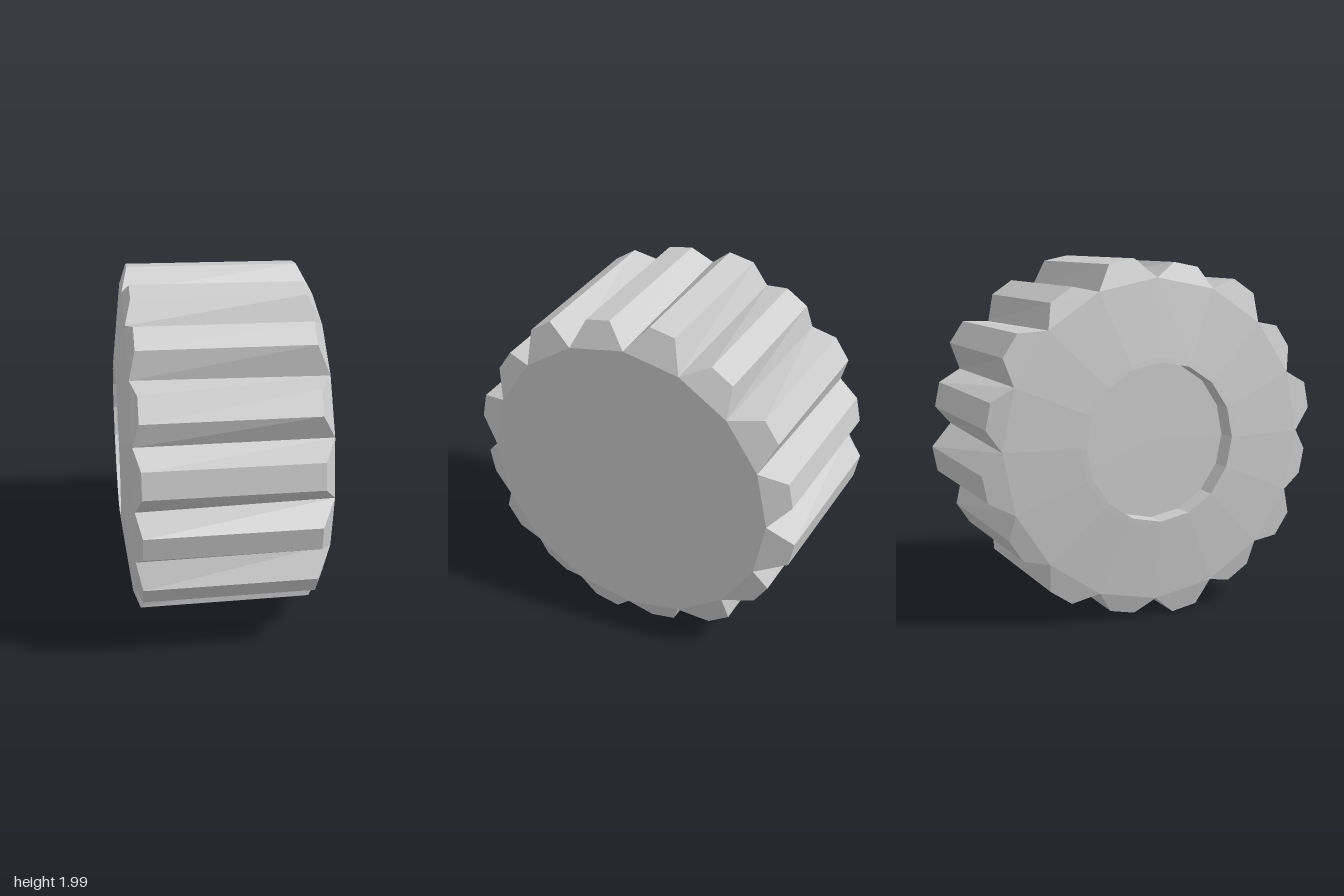
import * as THREE from 'three';

const TEETH = 16;
const STEP = (Math.PI * 2) / TEETH;
const TIP_HALF = THREE.MathUtils.degToRad(4.3);

// Point on a circle around the x axis, angle measured from +y towards +z
const at = (x, r, angle) => [x, 1 + r * Math.cos(angle), r * Math.sin(angle)];

function makeMesh(name, positions) {
  const geometry = new THREE.BufferGeometry();
  geometry.setAttribute('position', new THREE.Float32BufferAttribute(positions, 3));
  geometry.computeVertexNormals();
  const material = new THREE.MeshStandardMaterial({ color: 0xcccccc, flatShading: true });
  const mesh = new THREE.Mesh(geometry, material);
  mesh.name = name;
  return mesh;
}

const quad = (out, a, b, c, d) => out.push(...a, ...b, ...d, ...b, ...c, ...d);

// Facetted surface of revolution from [x, radius] points
function revolve(name, profile) {
  const out = [];
  for (let k = 0; k < TEETH; k++) {
    const a0 = k * STEP, a1 = a0 + STEP;
    for (let i = 0; i + 1 < profile.length; i++) {
      const [x0, r0] = profile[i], [x1, r1] = profile[i + 1];
      if (r0 === 0) out.push(...at(x0, 0, 0), ...at(x1, r1, a1), ...at(x1, r1, a0));
      else if (r1 === 0) out.push(...at(x0, r0, a0), ...at(x0, r0, a1), ...at(x1, 0, 0));
      else quad(out, at(x0, r0, a0), at(x0, r0, a1), at(x1, r1, a1), at(x1, r1, a0));
    }
  }
  return makeMesh(name, out);
}

// Ridges of alternating height, slightly tapered along the axis, with bevelled ends
function makeTeeth() {
  const out = [];
  for (let k = 0; k < TEETH; k++) {
    const tip = k % 2 ? 1.0 : 0.977;
    const start = k * STEP, mid = start + STEP / 2, end = start + STEP;
    const section = (xRoot, rRoot, xTip, rTip) => [
      at(xRoot, rRoot, start),
      at(xTip, rTip, mid - TIP_HALF),
      at(xTip, rTip, mid + TIP_HALF),
      at(xRoot, rRoot, end),
    ];
    const L = section(-0.505, 0.89, -0.47, tip);
    const R = section(0.555, 0.843, 0.48, tip - 0.013);
    for (let i = 0; i < 3; i++) quad(out, L[i], L[i + 1], R[i + 1], R[i]);
    quad(out, L[0], L[3], L[2], L[1]);
    quad(out, R[1], R[2], R[3], R[0]);
  }
  return makeMesh('teeth', out);
}

export function createModel() {
  const group = new THREE.Group();
  group.name = 'toothedWheel';
  group.add(
    makeTeeth(),
    revolve('flatFace', [[0.555, 0.843], [0.555, 0]]),
    revolve('domedFace', [[-0.56, 0.44], [-0.557, 0.47], [-0.505, 0.89]]),
    revolve('axleRecess', [[-0.44, 0], [-0.44, 0.44], [-0.56, 0.44]]),
  );
  return group;
}
